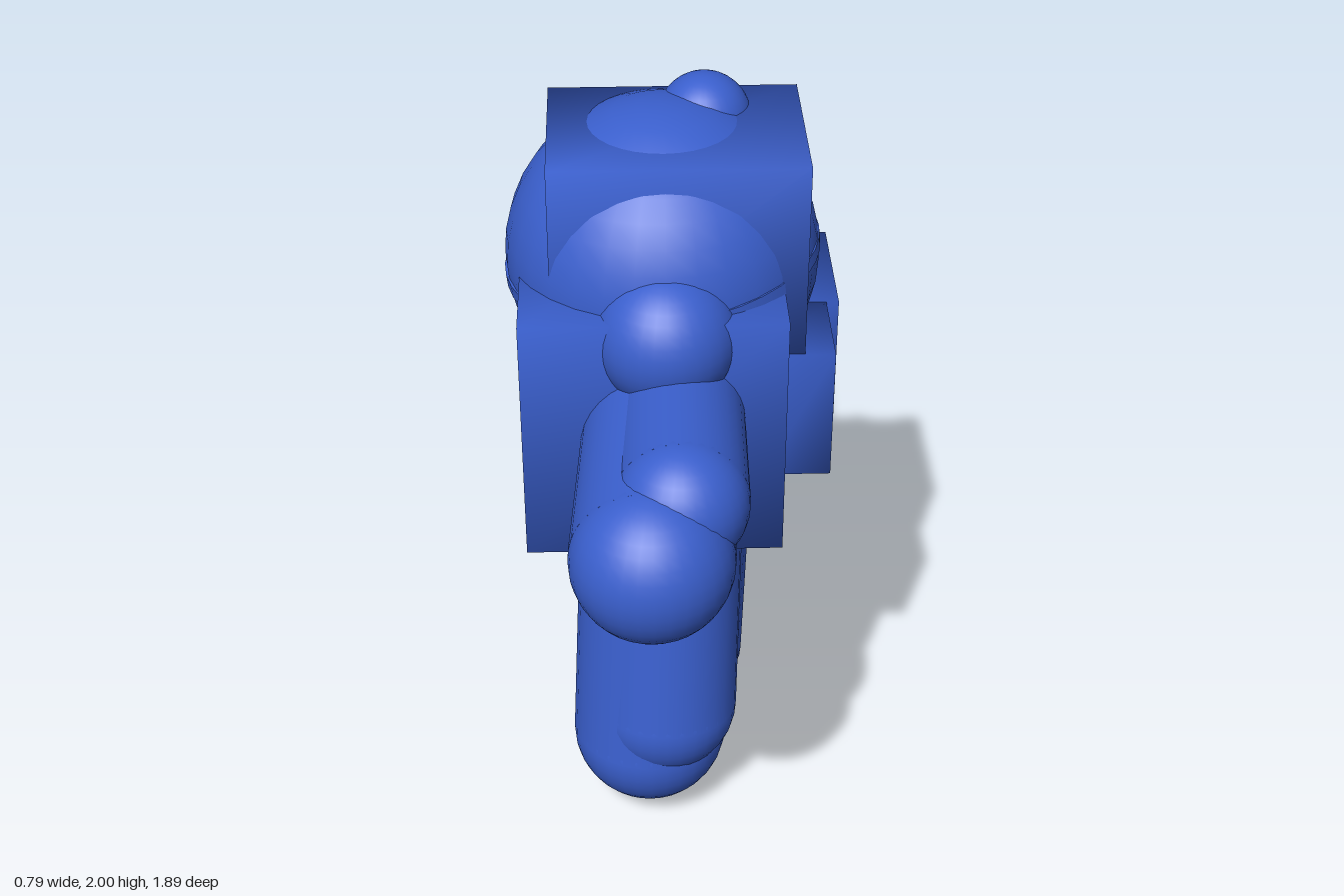
import * as THREE from 'three';
import { mergeVertices } from 'three/addons/utils/BufferGeometryUtils.js';

export function createModel() {
  const root = new THREE.Group();
  root.name = 'figure';
  const blue = new THREE.MeshStandardMaterial({ color: 0x3a5fcd });
  blue.name = 'royalBlue';

  const add = (name, geometry, position = [0, 0, 0], parent = root) => {
    const mesh = new THREE.Mesh(geometry, blue);
    mesh.name = name;
    mesh.position.set(...position);
    parent.add(mesh);
    return mesh;
  };

  const ball = (name, center, radius, parent) =>
    add(name, new THREE.SphereGeometry(radius, 32, 20), center, parent);

  // Box given by its two corners, with normals blended over the edges
  const block = (name, min, max) => {
    const size = max.map((v, i) => v - min[i]);
    let geometry = new THREE.BoxGeometry(...size);
    geometry.deleteAttribute('normal');
    geometry.deleteAttribute('uv');
    geometry = mergeVertices(geometry);
    geometry.computeVertexNormals();
    return add(name, geometry, max.map((v, i) => (v + min[i]) / 2));
  };

  // Tapered tube from the body to a rounded end
  const limb = (name, start, startRadius, end, endRadius) => {
    const group = new THREE.Group();
    group.name = name;
    root.add(group);
    const a = new THREE.Vector3(...start);
    const b = new THREE.Vector3(...end);
    const dir = b.clone().sub(a);
    const tube = add(name + 'Tube',
      new THREE.CylinderGeometry(endRadius, startRadius, dir.length(), 32),
      a.clone().add(b).multiplyScalar(0.5).toArray(), group);
    tube.quaternion.setFromUnitVectors(new THREE.Vector3(0, 1, 0), dir.normalize());
    ball(name + 'End', end, endRadius, group);
  };

  // Torso with two blocks on its left side
  block('torso', [-0.36, 1.01, -0.4], [0.24, 1.62, 0.37]);
  block('frontSideBlock', [0.2, 1.13, 0], [0.36, 1.46, 0.24]);
  block('rearSideBlock', [0.2, 1.12, -0.35], [0.39, 1.46, 0]);

  // Head: ball, box around it, tilted band and bump on top
  ball('head', [-0.03, 1.605, -0.015], 0.367);
  block('headBox', [-0.29, 1.46, -0.2], [0.29, 1.93, 0.235]);
  const band = add('headBand', new THREE.CylinderGeometry(0.37, 0.37, 0.03, 40), [-0.03, 1.6, -0.015]);
  band.rotation.z = 0.12;
  ball('headBump', [0.07, 1.89, -0.11], 0.11);

  // Shoulders
  ball('frontShoulder', [-0.03, 1.55, 0.29], 0.165);
  ball('rearShoulder', [-0.04, 1.56, -0.375], 0.165);

  // Arms, two to the front and two to the rear
  limb('frontLowerArm', [-0.04, 1.32, 0.2], 0.175, [-0.075, 1.28, 0.765], 0.18);
  limb('frontUpperArm', [0, 1.37, 0.2], 0.15, [-0.01, 1.375, 0.69], 0.148);
  limb('rearUpperArm', [0, 1.44, -0.2], 0.11, [0, 1.455, -0.75], 0.143);
  limb('rearLowerArm', [-0.08, 1.27, -0.2], 0.165, [-0.125, 1.175, -0.765], 0.178);

  // Legs
  limb('frontInnerLeg', [-0.04, 1.1, 0.04], 0.19, [-0.07, 0.235, 0.1], 0.2);
  limb('frontOuterLeg', [-0.01, 1.1, 0.05], 0.18, [-0.03, 0.35, 0.135], 0.185);
  limb('middleLeg', [-0.03, 1.1, -0.03], 0.19, [-0.05, 0.2, -0.07], 0.195);
  limb('rearLeg', [0.01, 1.1, -0.1], 0.195, [-0.01, 0.28, -0.2], 0.2);

  return root;
}
